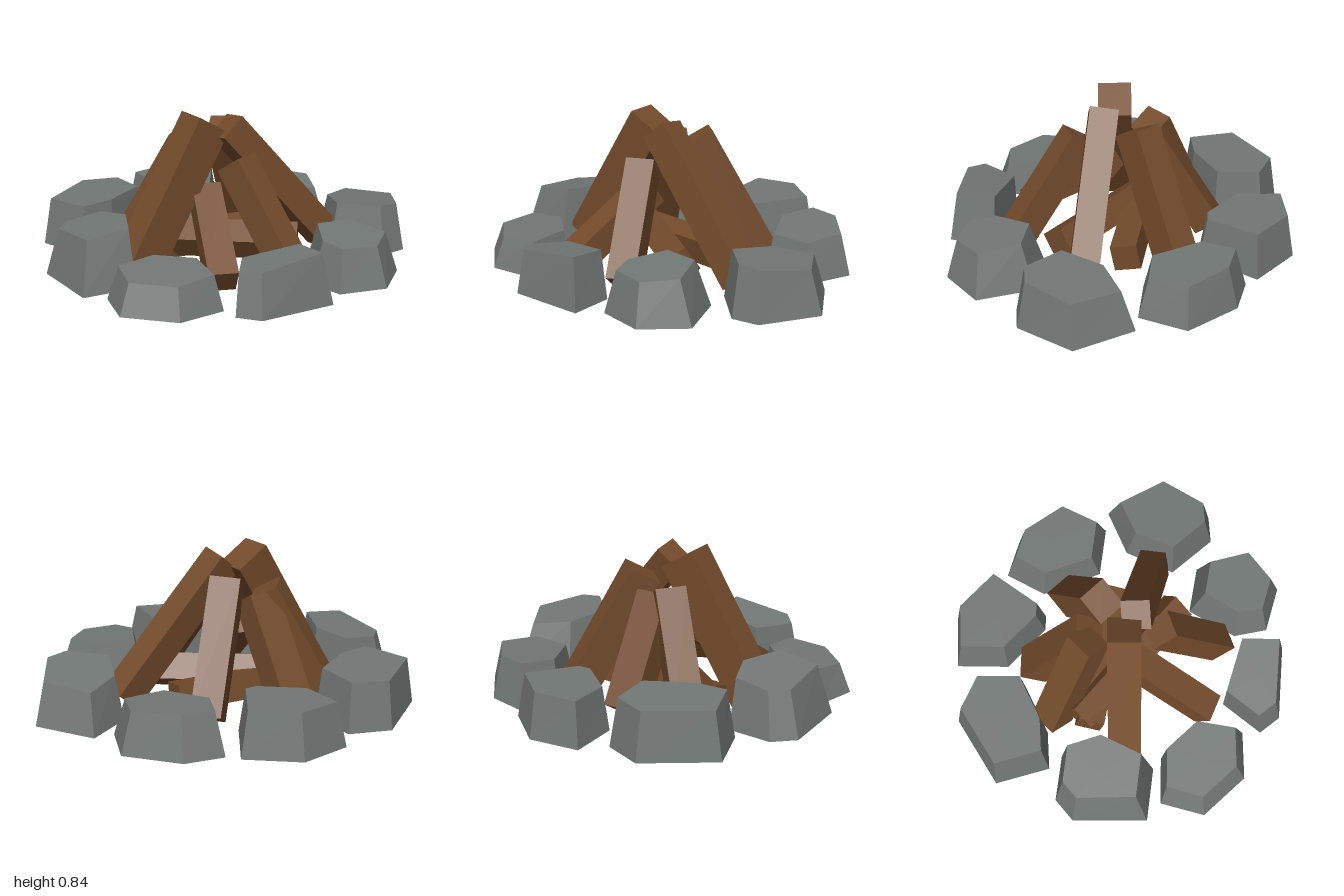
import * as THREE from 'three';

const V = (a) => new THREE.Vector3(...a);

export function createModel() {
  const root = new THREE.Group();
  const stoneGrey = new THREE.MeshStandardMaterial({ color: 0x727876, flatShading: true });
  stoneGrey.name = 'stoneGrey';
  const woodBrown = new THREE.MeshStandardMaterial({ color: 0x734b2b, flatShading: true });
  woodBrown.name = 'woodBrown';

  // Square beam between the centres of its two ends, rolled about its own axis
  function beam(name, from, to, width, depth, roll = 0) {
    const a = V(from), b = V(to);
    const axis = b.clone().sub(a);
    const length = axis.length();
    axis.normalize();
    const side = new THREE.Vector3().crossVectors(V([0, 1, 0]), axis).normalize();
    side.applyAxisAngle(axis, roll);
    const face = new THREE.Vector3().crossVectors(side, axis);
    const mesh = new THREE.Mesh(new THREE.BoxGeometry(width, length, depth), woodBrown);
    mesh.name = name;
    mesh.quaternion.setFromRotationMatrix(new THREE.Matrix4().makeBasis(side, axis, face));
    mesh.position.copy(a).add(b).multiplyScalar(0.5);
    root.add(mesh);
  }

  // Faceted stone: ground outline, shrunken and shifted top with a tilted height
  function stone(name, base, shrink, shift, height, slopeX = 0, slopeZ = 0) {
    const n = base.length;
    const cx = base.reduce((s, p) => s + p[0], 0) / n;
    const cz = base.reduce((s, p) => s + p[1], 0) / n;
    const low = base.map(([x, z]) => [x, 0, z]);
    const high = base.map(([x, z]) => {
      const dx = (x - cx) * shrink + shift[0], dz = (z - cz) * shrink + shift[1];
      return [cx + dx, height + dx * slopeX + dz * slopeZ, cz + dz];
    });
    const topMid = [cx, height, cz], lowMid = [cx, 0, cz];
    const pos = [];
    for (let i = 0; i < n; i++) {
      const j = (i + 1) % n;
      pos.push(...low[j], ...low[i], ...high[i], ...low[j], ...high[i], ...high[j]);
      pos.push(...topMid, ...high[j], ...high[i], ...lowMid, ...low[i], ...low[j]);
    }
    const geo = new THREE.BufferGeometry();
    geo.setAttribute('position', new THREE.Float32BufferAttribute(pos, 3));
    geo.computeVertexNormals();
    const mesh = new THREE.Mesh(geo, stoneGrey);
    mesh.name = name;
    root.add(mesh);
  }

  // Leaning logs, foot to tip
  beam('backLog', [-0.01, 0.05, -0.52], [-0.02, 0.7, -0.16], 0.165, 0.18, 0.12);
  beam('backLeftTallLog', [0.52, 0.06, -0.37], [0.06, 0.76, 0.03], 0.155, 0.16, 0.22);
  beam('leftLog', [0.505, 0.05, 0.245], [0.15, 0.597, 0.13], 0.155, 0.16);
  beam('frontLog', [0.2, 0.062, 0.52], [-0.04, 0.4, 0.09], 0.16, 0.15);
  beam('frontRightTallLog', [-0.315, 0.05, 0.415], [-0.045, 0.785, 0.065], 0.18, 0.21);
  beam('rightLog', [-0.52, 0.05, 0.015], [-0.2, 0.64, -0.045], 0.165, 0.165, -0.1);
  beam('backRightLog', [-0.42, 0.055, -0.3], [-0.16, 0.6, -0.09], 0.18, 0.16);

  // Crossed logs lying under the tent of logs, resting on their edges
  beam('lowerCrossLog', [-0.39, 0.085, 0.19], [0.22, 0.085, -0.36], 0.145, 0.145, 0.2);
  beam('upperCrossLog', [-0.42, 0.115, 0.12], [0.445, 0.115, -0.06], 0.15, 0.15, 0.6);

  // Ring of stones
  stone('frontStone',
    [[-0.18, 0.575], [0.1, 0.55], [0.28, 0.74], [0.12, 0.95], [-0.19, 0.975], [-0.34, 0.775]],
    0.82, [0, -0.02], 0.18, 0, -0.1);
  stone('frontLeftStone',
    [[0.3, 0.54], [0.6, 0.33], [0.785, 0.49], [0.5, 0.8], [0.36, 0.8]],
    0.85, [-0.02, -0.01], 0.245, 0.14, -0.03);
  stone('leftStone',
    [[0.505, -0.02], [0.705, -0.2], [1, -0.085], [1, 0.19], [0.785, 0.345], [0.615, 0.26]],
    0.73, [0, 0.01], 0.24, -0.07, -0.06);
  stone('backLeftStone',
    [[0.515, -0.81], [0.865, -0.745], [0.97, -0.415], [0.885, -0.29], [0.58, -0.275], [0.445, -0.54]],
    0.8, [0, 0.01], 0.25, 0.03, 0.11);
  stone('backStone',
    [[-0.02, -0.985], [0.31, -0.975], [0.435, -0.73], [0.235, -0.53], [-0.1, -0.63], [-0.2, -0.855]],
    0.8, [0, 0.01], 0.225, -0.05, -0.06);
  stone('backRightStone',
    [[-0.595, -0.81], [-0.28, -0.86], [-0.175, -0.51], [-0.23, -0.445], [-0.535, -0.395], [-0.76, -0.575]],
    0.84, [0, 0], 0.245, 0, -0.03);
  stone('rightStone',
    [[-0.74, -0.415], [-0.525, -0.245], [-0.59, 0.06], [-0.71, 0.235], [-0.995, 0.12], [-0.95, -0.305]],
    0.86, [0, 0], 0.27, 0.04, 0);
  stone('frontRightStone',
    [[-0.61, 0.22], [-0.385, 0.31], [-0.25, 0.595], [-0.46, 0.805], [-0.785, 0.55], [-0.79, 0.4]],
    0.78, [0.01, -0.02], 0.28, 0.15, -0.03);

  return root;
}
